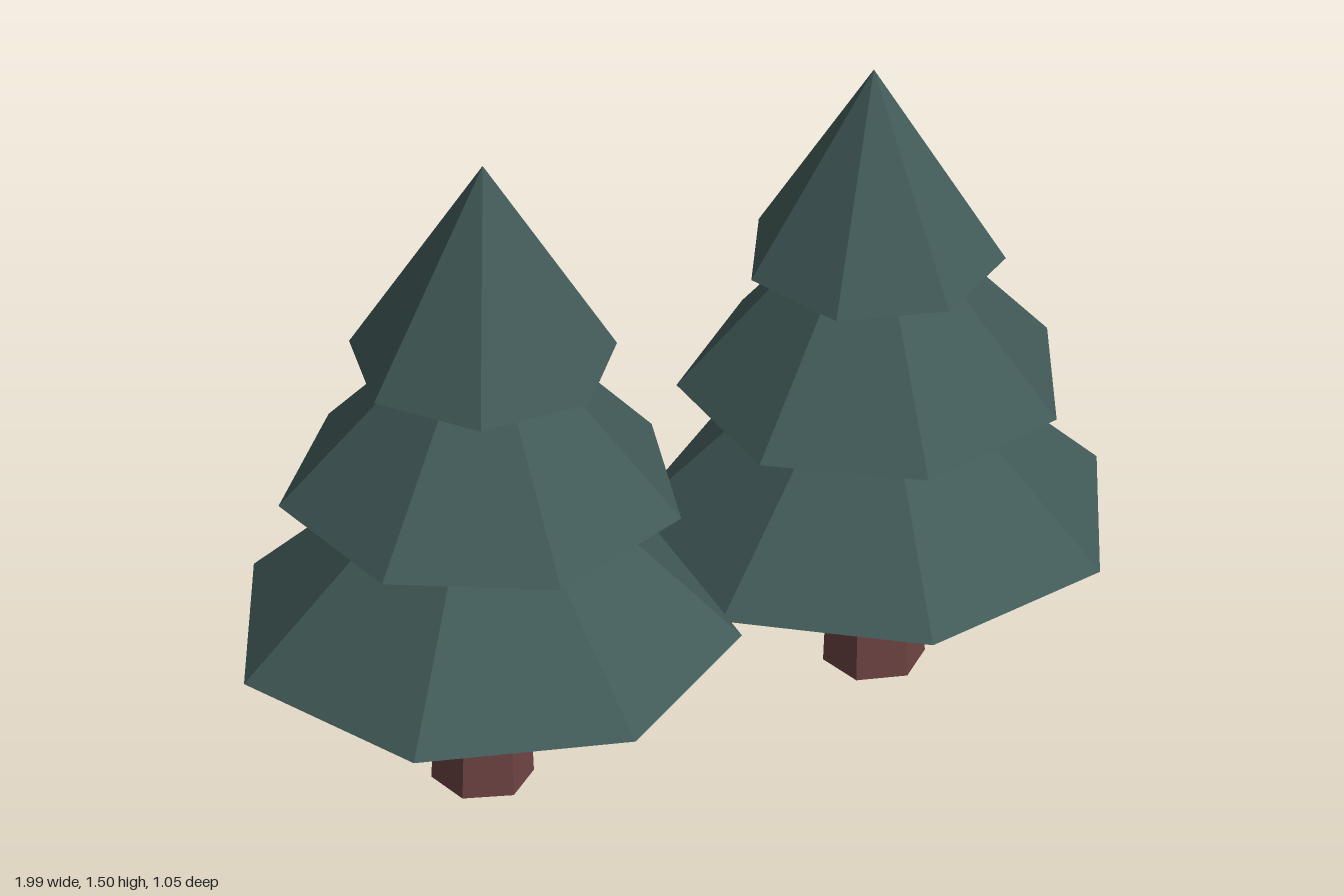
import * as THREE from 'three';

const deg = THREE.MathUtils.degToRad;

// tiers: [base height, tip height, radius, angle of first corner in degrees]
const TREES = [
  {
    name: 'tallTree', x: -0.465, z: -0.018, trunkAngle: 6,
    tiers: [[0.355, 0.90, 0.542, 4.9], [0.705, 1.19, 0.432, -8.8], [1.025, 1.5, 0.287, 19.5]],
  },
  {
    name: 'shortTree', x: 0.474, z: 0.008, trunkAngle: 9,
    tiers: [[0.342, 0.87, 0.52, -17.4], [0.68, 1.17, 0.413, -15.1], [0.99, 1.445, 0.276, 3.7]],
  },
];

export function createModel() {
  const foliage = new THREE.MeshStandardMaterial({ color: 0x415a58, flatShading: true });
  foliage.name = 'dark green foliage';
  const bark = new THREE.MeshStandardMaterial({ color: 0x6e4443, flatShading: true });
  bark.name = 'red brown bark';

  // Closed tapered prism standing between two heights
  function prism(name, y0, y1, rBottom, rTop, sides, angle, material) {
    const geometry = new THREE.CylinderGeometry(rTop, rBottom, y1 - y0, sides, 1, false, deg(angle));
    geometry.translate(0, (y0 + y1) / 2, 0);
    const mesh = new THREE.Mesh(geometry, material);
    mesh.name = name;
    return mesh;
  }

  const model = new THREE.Group();
  model.name = 'pineTrees';
  const tierNames = ['lowerBranches', 'middleBranches', 'topBranches'];

  for (const { name, x, z, trunkAngle, tiers } of TREES) {
    const tree = new THREE.Group();
    tree.name = name;
    tree.position.set(x, 0, z);

    // Six-sided trunk, its top hidden in the lowest tier
    tree.add(prism('trunk', 0, 0.5, 0.108, 0.086, 6, trunkAngle, bark));

    // Three overlapping seven-sided cones
    tiers.forEach(([base, tip, radius, angle], i) => {
      tree.add(prism(tierNames[i], base, tip, radius, 0, 7, angle, foliage));
    });
    model.add(tree);
  }
  return model;
}
